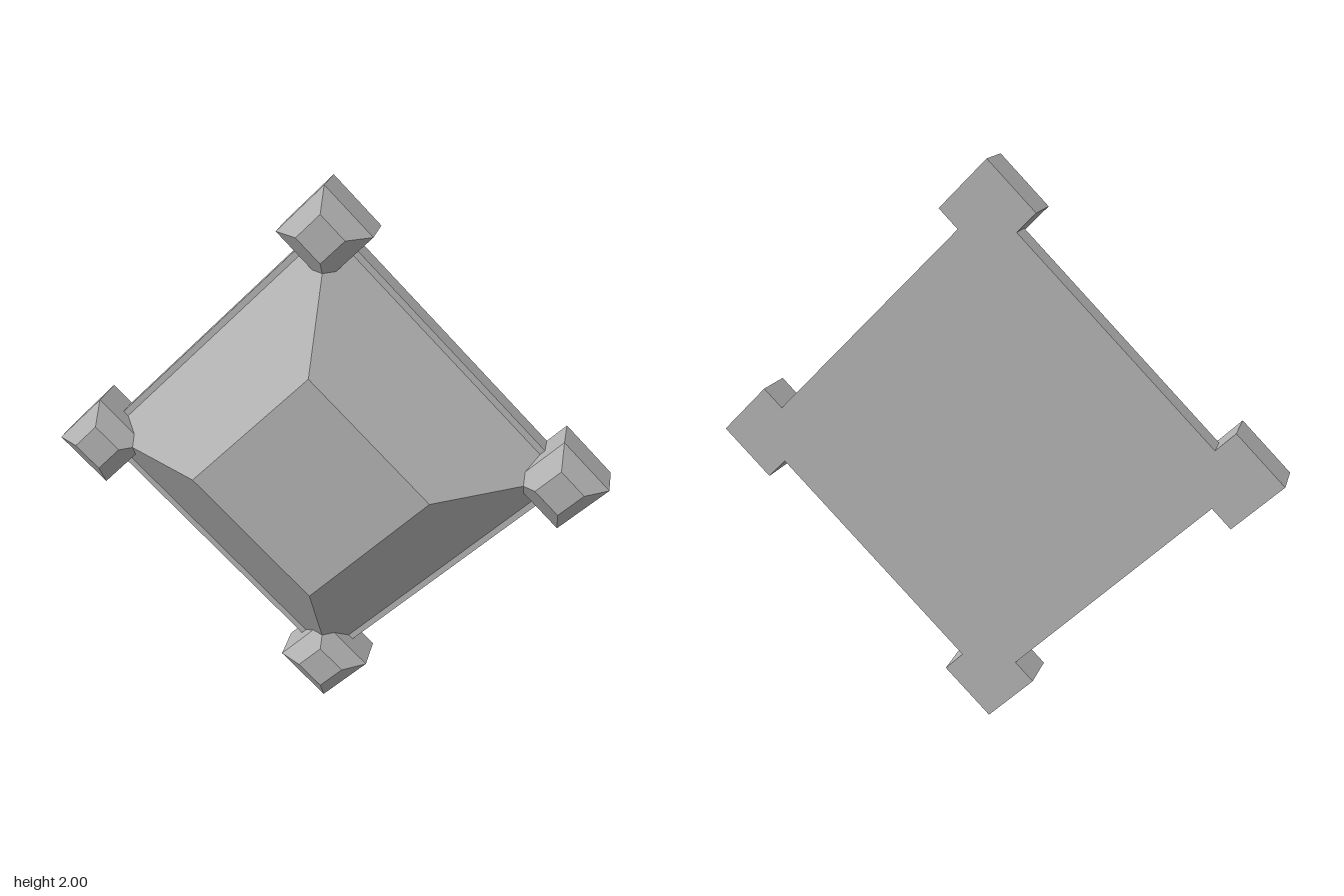
import * as THREE from 'three';

const BACK = -0.19;

export function createModel() {
  const group = new THREE.Group();
  const grey = new THREE.MeshStandardMaterial({ color: 0xb4b4b4, flatShading: true });
  grey.name = 'grey';

  // Four-sided block with its corners on the x and y axes, running from z0 forward to z1
  function diamond(name, frontRadius, backRadius, z0, z1) {
    const geometry = new THREE.CylinderGeometry(frontRadius, backRadius, z1 - z0, 4);
    geometry.rotateX(Math.PI / 2);
    geometry.translate(0, 0, (z0 + z1) / 2);
    const mesh = new THREE.Mesh(geometry, grey);
    mesh.name = name;
    return mesh;
  }

  // Flat plate with a truncated pyramid on its face
  const body = new THREE.Group();
  body.name = 'body';
  body.position.y = 1;
  body.add(
    diamond('backPlate', 0.87, 0.87, BACK, -0.105),
    diamond('bevelledCentre', 0.415, 0.838, -0.105, 0.19)
  );
  group.add(body);

  // A bevelled stud at each corner
  const corners = { top: [0, 1], bottom: [0, -1], left: [1, 0], right: [-1, 0] };
  for (const [side, [x, y]] of Object.entries(corners)) {
    const stud = new THREE.Group();
    stud.name = side + 'Stud';
    stud.position.set(x * 0.835, 1 + y * 0.835, 0);
    stud.add(
      diamond('studBase', 0.165, 0.165, BACK, -0.045),
      diamond('studBevel', 0.083, 0.165, -0.045, 0.015)
    );
    group.add(stud);
  }
  return group;
}
